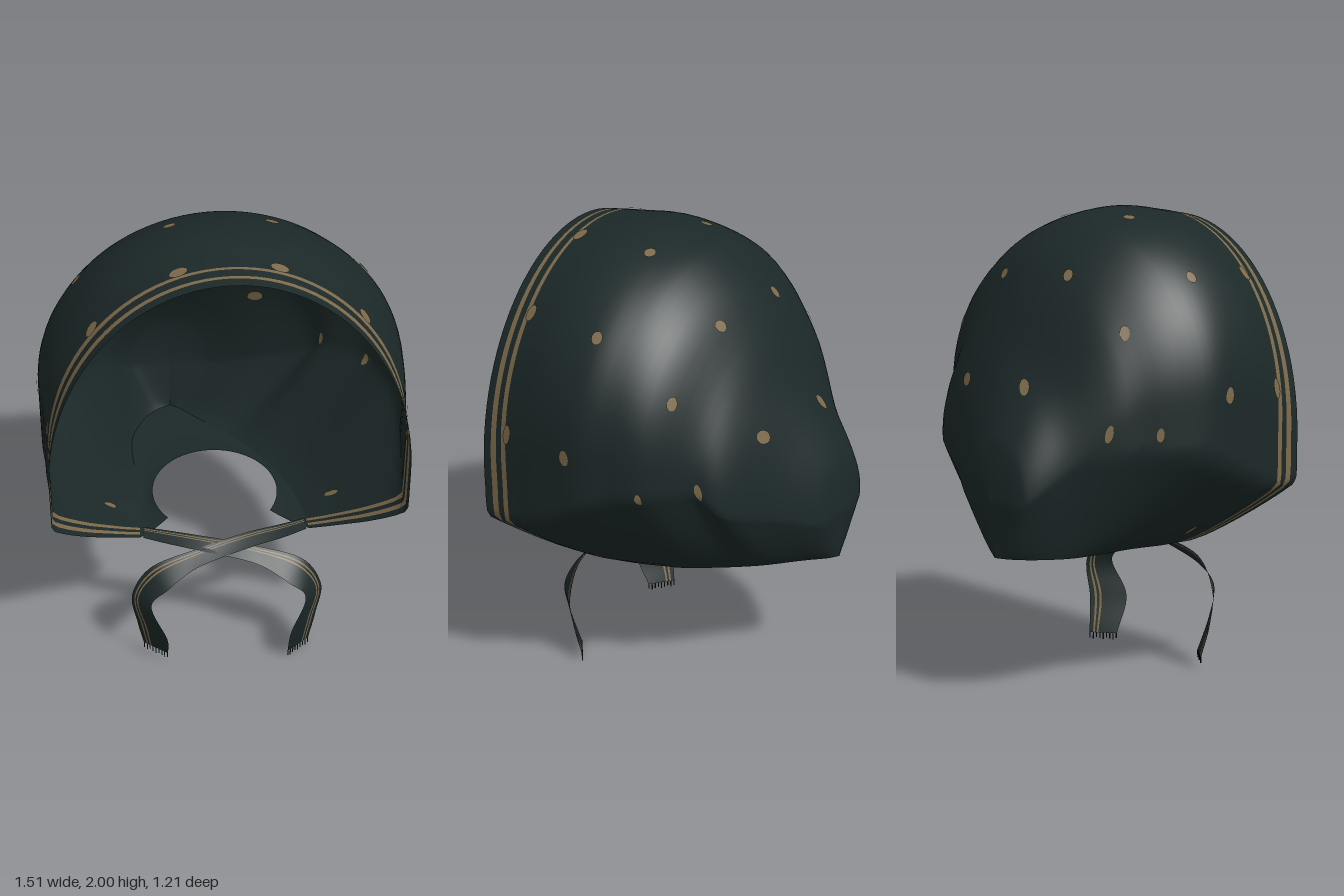
import * as THREE from 'three';

// Smooth lookup through [position, value] pairs, positions ascending
function curve(pts) {
  const n = pts.length;
  const slope = (i) => {
    const a = pts[Math.max(i - 1, 0)], b = pts[Math.min(i + 1, n - 1)];
    return (b[1] - a[1]) / (b[0] - a[0]);
  };
  return (p) => {
    const x = Math.min(Math.max(p, pts[0][0]), pts[n - 1][0]);
    let i = 0;
    while (i < n - 2 && x > pts[i + 1][0]) i++;
    const h = pts[i + 1][0] - pts[i][0], t = (x - pts[i][0]) / h, t2 = t * t, t3 = t2 * t;
    return (2 * t3 - 3 * t2 + 1) * pts[i][1] + (t3 - 2 * t2 + t) * h * slope(i)
      + (3 * t2 - 2 * t3) * pts[i + 1][1] + (t3 - t2) * h * slope(i + 1);
  };
}

// Outlines of the hood along z: crown height, widest level and front edge
const crown = curve([[-0.61, 0.86], [-0.595, 1.0], [-0.57, 1.1], [-0.4, 1.41], [-0.3, 1.62], [-0.2, 1.78], [-0.1, 1.88], [0, 1.945], [0.25, 2], [0.45, 1.985], [0.6, 1.965]]);
const widest = curve([[-0.61, 0.82], [-0.4, 1.0], [-0.2, 1.2], [0, 1.25], [0.3, 1.25], [0.48, 1.15], [0.6, 1.05]]);
const frontLimit = curve([[0.57, 0.32], [0.66, 0.415], [0.74, 0.5], [0.84, 0.585], [0.9, 0.6], [1, 0.6], [1.2, 0.6]]);
// Each side has its widest x, its hem x and the height over which it draws in to the hem
const plus = {
  edge: curve([[-0.61, -0.17], [-0.595, -0.03], [-0.57, 0.04], [-0.48, 0.21], [-0.38, 0.43], [-0.27, 0.5], [-0.15, 0.64], [0, 0.71], [0.1, 0.745], [0.3, 0.735], [0.5, 0.715], [0.6, 0.72]]),
  hem: curve([[-0.61, -0.17], [-0.58, -0.13], [-0.5, -0.06], [-0.34, 0.09], [-0.1, 0.25], [0, 0.29], [0.3, 0.34], [0.6, 0.36]]),
  taper: curve([[-0.6, 0.4], [-0.3, 0.5], [0, 0.5], [0.3, 0.33], [0.45, 0.27], [0.6, 0.27]]),
};
const minus = {
  edge: curve([[-0.61, -0.17], [-0.595, -0.29], [-0.57, -0.35], [-0.42, -0.44], [-0.27, -0.56], [-0.2, -0.6], [-0.08, -0.68], [0.08, -0.745], [0.3, -0.735], [0.5, -0.715], [0.6, -0.72]]),
  hem: curve([[-0.61, -0.17], [-0.58, -0.23], [-0.5, -0.3], [-0.34, -0.36], [0, -0.35], [0.3, -0.35], [0.6, -0.36]]),
  taper: curve([[-0.6, 0.35], [-0.3, 0.42], [0, 0.43], [0.3, 0.32], [0.45, 0.27], [0.6, 0.27]]),
};
const middle = (z) => (plus.edge(z) + minus.edge(z)) / 2;
const halfWidth = (z) => (plus.edge(z) - minus.edge(z)) / 2;

// Point on the hood: a runs -1..1 from hem over the crown to hem, z from back to front
function hoodPoint(a, z) {
  const k = Math.abs(a), m = widest(z), low = 0.597 - 0.03 * Math.min(z, 0.3);
  let x, y;
  if (k < 0.6) {
    const th = (a / 0.6) * Math.PI / 2;
    x = middle(z) + halfWidth(z) * Math.sin(th);
    y = m + (crown(z) - m) * Math.cos(th);
  } else {
    const side = a > 0 ? plus : minus;
    y = m + (low - m) * (k - 0.6) / 0.4;
    const t = Math.min(Math.max((y - low) / Math.min(side.taper(z), m - low), 0), 1);
    x = side.hem(z) + (side.edge(z) - side.hem(z)) * Math.pow(t, 0.8);
  }
  const zz = z > 0 ? z * frontLimit(y) / 0.6 : z - 0.18 * Math.max(0, 0.85 - y) * z;
  return new THREE.Vector3(x, y, zz);
}

// Arch position of a spot on the upper hood from its x
const archAt = (x, z) => 0.6 * Math.asin(Math.max(-0.99, Math.min(0.99, (x - middle(z)) / halfWidth(z)))) / (Math.PI / 2);

// Grid surface with painted rows
function gridGeometry(rows, isGold) {
  const cols = rows[0].length, pos = [], idx = [], geo = new THREE.BufferGeometry();
  rows.forEach((r) => r.forEach((p) => pos.push(p.x, p.y, p.z)));
  for (let j = 0; j < rows.length - 1; j++) {
    geo.addGroup(idx.length, (cols - 1) * 6, isGold(j) ? 1 : 0);
    for (let i = 0; i < cols - 1; i++) {
      const q = j * cols + i;
      idx.push(q, q + 1, q + cols, q + 1, q + cols + 1, q + cols);
    }
  }
  geo.setAttribute('position', new THREE.Float32BufferAttribute(pos, 3));
  geo.setIndex(idx);
  geo.computeVertexNormals();
  return geo;
}

// Small oval lying on the hood, on both faces of the cloth
function dotGeometry(a, z, ra, rz) {
  const e = 0.004, p = hoodPoint(a, z);
  const da = hoodPoint(a + e, z).sub(hoodPoint(a - e, z)).divideScalar(2 * e);
  const dz = hoodPoint(a, z + e).sub(hoodPoint(a, z - e)).divideScalar(2 * e);
  const n = da.clone().cross(dz).normalize(), pos = [], idx = [];
  for (const off of [0.005, -0.005]) {
    const base = pos.length / 3;
    const add = (v) => pos.push(...v.addScaledVector(n, off).toArray());
    add(p.clone());
    for (let i = 0; i < 12; i++) {
      const t = i * Math.PI / 6;
      add(hoodPoint(a + ra / da.length() * Math.cos(t), z + rz / dz.length() * Math.sin(t)));
      const u = base + 1 + i, v = base + 1 + (i + 1) % 12;
      if (off > 0) idx.push(base, u, v); else idx.push(base, v, u);
    }
  }
  const geo = new THREE.BufferGeometry();
  geo.setAttribute('position', new THREE.Float32BufferAttribute(pos, 3));
  geo.setIndex(idx);
  geo.computeVertexNormals();
  return geo;
}

export function createModel() {
  const group = new THREE.Group();
  const cloth = new THREE.MeshStandardMaterial({ color: 0x1c2828, side: THREE.DoubleSide });
  cloth.name = 'dark green cloth';
  const gold = new THREE.MeshStandardMaterial({ color: 0x7d6a4b, side: THREE.DoubleSide });
  gold.name = 'dull gold';
  const add = (geo, mat, name, parent = group) => {
    const mesh = new THREE.Mesh(geo, mat);
    mesh.name = name;
    parent.add(mesh);
    return mesh;
  };

  // Hood with two painted stripes along the face opening, thinner over the crown
  const zs = [0.6, 0.5505, 0.5505, 0.4975, 0.4975];
  const spread = [0, 0.0135, -0.0135, 0.0125, -0.0125];
  for (let i = 1; i <= 44; i++) zs.push(-0.61 + 1.092 * (1 - Math.sin(i / 44 * Math.PI / 2)));
  const rows = zs.map((z, j) => Array.from({ length: 81 }, (_, i) => {
    const a = i / 40 - 1;
    return hoodPoint(a, z + (spread[j] || 0) * (0.5 + 0.5 * Math.min(1, Math.abs(a) / 0.4)));
  }));
  add(gridGeometry(rows, (j) => j === 1 || j === 3), [cloth, gold], 'hood');

  // Gathered underside, turned in from the hem to the oval neck opening
  const outer = [...zs.map((z) => hoodPoint(1, z)), ...zs.map((z) => hoodPoint(-1, z)).reverse()];
  const underside = [0, 0.25, 0.5, 0.75, 1].map((t) => outer.map((p) => {
    const dx = p.x + 0.02, dz = p.z - 0.06;
    const f = Math.min(0.96, 1 / Math.hypot(dx / 0.27, dz / 0.29));
    const q = p.clone().lerp(new THREE.Vector3(-0.02 + dx * f, 0.605, 0.06 + dz * f), t);
    q.y -= 0.008 * Math.sin(t * Math.PI);
    return q;
  }));
  add(gridGeometry(underside, () => false), [cloth], 'underside');

  // Dots on the upper hood: x, z, radius across, radius along z
  const dotGroup = new THREE.Group();
  dotGroup.name = 'dots';
  group.add(dotGroup);
  const upper = [
    [0.57, 0.11, 0.028, 0.024], [0.2, 0.12, 0.028, 0.024], [0.2, -0.215, 0.026, 0.028],
    [0.51, -0.195, 0.03, 0.024], [0.19, 0.473, 0.038, 0.026], [0.52, 0.473, 0.036, 0.026],
  ];
  for (const [x, z, ra, rz] of upper)
    for (const s of [1, -1]) add(dotGeometry(archAt(s * x, z), z, ra, rz), gold, 'dot', dotGroup);
  for (const [x, z] of [[0.2, -0.42], [-0.2, -0.45]])
    add(dotGeometry(archAt(x, z), z, 0.03, 0.036), gold, 'dot', dotGroup);
  // Dots low on the sides: arch position, z, radius across, radius along z
  const lower = [
    [0.585, -0.3, 0.032, 0.024], [0.67, -0.13, 0.028, 0.016], [0.6, 0.155, 0.036, 0.025],
    [0.95, 0.3, 0.035, 0.014], [0.55, 0.473, 0.042, 0.025],
  ];
  for (const [a, z, ra, rz] of lower)
    for (const s of [1, -1]) add(dotGeometry(s * a, z, ra, rz), gold, 'dot', dotGroup);

  // Crossed ties: centre points and half width vectors
  const centre = [[-0.345, 0.592, 0.31], [-0.25, 0.585, 0.34], [-0.1, 0.57, 0.38], [0.12, 0.535, 0.43], [0.29, 0.465, 0.47], [0.365, 0.36, 0.475], [0.325, 0.2, 0.495], [0.31, 0.03, 0.45]];
  const half = [[0, 0.006, -0.03], [0, 0.008, -0.035], [0, 0.014, -0.035], [0, 0.025, -0.03], [0.035, 0.03, -0.04], [0.038, 0, -0.045], [0.06, 0, -0.06], [0.05, 0, -0.04]];
  const across = [-1, -0.3, 0.36, 0.48, 0.62, 0.74, 1];
  for (const s of [1, -1]) {
    const lift = s < 0 ? 0.03 : 0;
    const flip = (p, i, up) => new THREE.Vector3(s * p[0], p[1] + up * (i === 7 ? lift : i === 2 ? lift * 0.25 : 0), p[2]);
    const path = new THREE.CatmullRomCurve3(centre.map((p, i) => flip(p, i, 1)));
    const width = new THREE.CatmullRomCurve3(half.map((p, i) => flip(p, i, 0)));
    const strips = across.map((c) => Array.from({ length: 49 }, (_, i) =>
      path.getPoint(i / 48).addScaledVector(width.getPoint(i / 48), c)));
    const tie = new THREE.Group();
    tie.name = s > 0 ? 'leftTie' : 'rightTie';
    group.add(tie);
    add(gridGeometry(strips, (j) => j === 2 || j === 4), [cloth, gold], 'ribbon', tie);
    // Frayed end
    const end = path.getPoint(1), w = width.getPoint(1);
    for (let i = 0; i < 9; i++) {
      const len = 0.022 + 0.008 * ((i * 2) % 3) / 2;
      const thread = add(new THREE.BoxGeometry(0.004, len, 0.004), cloth, 'fringe', tie);
      thread.position.copy(end).addScaledVector(w, -0.96 + i * 0.24);
      thread.position.y -= len / 2;
    }
  }
  return group;
}
